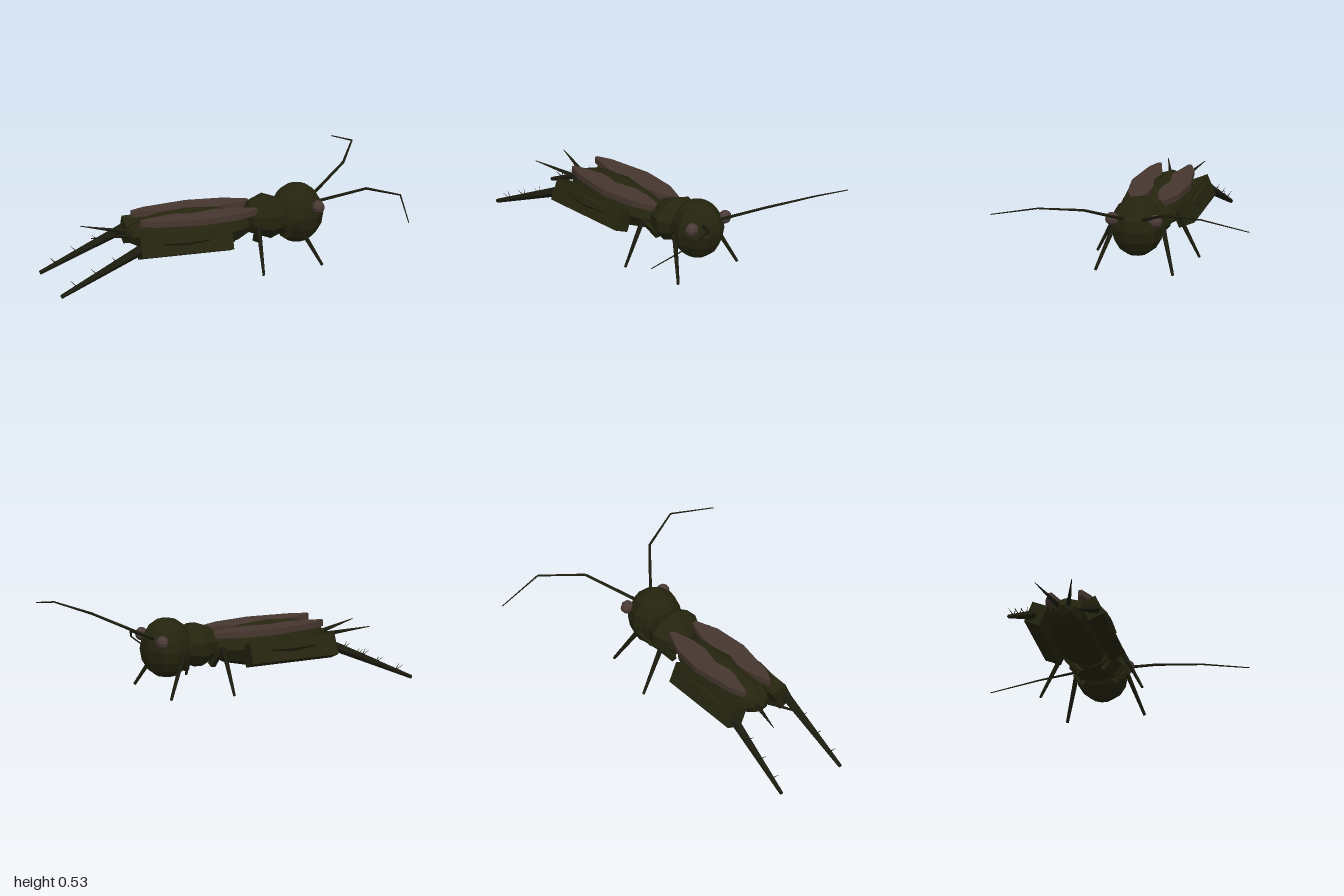
import * as THREE from 'three';

const material = (name, color) => {
  const m = new THREE.MeshStandardMaterial({ color, flatShading: true });
  m.name = name;
  return m;
};

export function createModel() {
  const green = material('dark green shell', 0x24240f);
  const dark = material('dark limbs', 0x1b1b0e);
  const brown = material('brown wings', 0x46372f);
  const eyeBrown = material('eye brown', 0x4a3a35);
  const model = new THREE.Group();
  model.name = 'cricket';

  const add = (name, geometry, mat, parent = model) => {
    const mesh = new THREE.Mesh(geometry, mat);
    mesh.name = name;
    parent.add(mesh);
    return mesh;
  };

  // Faceted ellipsoid; alongX turns its poles to front and back
  const blob = (name, pos, radii, mat, ws, hs, alongX, parent) => {
    const g = new THREE.SphereGeometry(1, ws, hs);
    if (alongX) g.rotateZ(-Math.PI / 2);
    else g.rotateY(Math.PI / ws);
    g.scale(...radii);
    const mesh = add(name, g, mat, parent);
    mesh.position.set(...pos);
    return mesh;
  };

  // Tapered rod between two points
  const rod = (name, a, b, r0, r1, mat, parent, sides = 5) => {
    const from = new THREE.Vector3(...a), to = new THREE.Vector3(...b);
    const dir = to.clone().sub(from);
    const g = new THREE.CylinderGeometry(r1, r0, dir.length(), sides);
    const mesh = add(name, g, mat, parent);
    mesh.position.copy(from).add(to).multiplyScalar(0.5);
    mesh.quaternion.setFromUnitVectors(new THREE.Vector3(0, 1, 0), dir.normalize());
    return mesh;
  };

  // Body, facing +x
  blob('abdomen', [-0.15, 0.278, 0], [0.39, 0.132, 0.165], green, 8, 8, true);
  blob('thorax', [0.32, 0.312, 0], [0.145, 0.133, 0.165], green, 10, 4, true);
  blob('head', [0.505, 0.315, 0], [0.158, 0.178, 0.158], green, 10, 8, false);

  for (const s of [1, -1]) {
    const side = new THREE.Group();
    side.name = s > 0 ? 'frontSideParts' : 'backSideParts';
    model.add(side);
    const P = (x, y, z) => [x, y, z * s];

    blob('eye', P(0.6, 0.38, 0.13), [0.037, 0.04, 0.042], eyeBrown, 8, 6, false, side);

    // Wing: flat leaf-shaped plate lying on the back
    const leaf = [[-0.475, 0.1], [-0.39, 0.135], [-0.12, 0.176], [0.1, 0.152], [0.24, 0.095],
      [0.23, 0.065], [0.1, 0.03], [-0.1, 0.018], [-0.3, 0.035], [-0.475, 0.08]];
    const shape = new THREE.Shape(leaf.map(([x, z]) => new THREE.Vector2(x, -z * s)));
    const wing = new THREE.ExtrudeGeometry(shape, { depth: 0.037, bevelEnabled: false });
    wing.rotateX(-Math.PI / 2).translate(0, 0.356, 0);
    add('wing', wing, brown, side);

    // Hind femur: long leaning block with a faceted bulge on its outer side
    const femur = add('hindFemur', new THREE.BoxGeometry(0.56, 0.13, 0.1), green, side);
    femur.position.set(-0.225, 0.253, 0.167 * s);
    femur.rotation.x = -0.4 * s;
    const bulge = blob('femurBulge', P(-0.225, 0.285, 0.195), [0.19, 0.04, 0.035], green, 6, 4, true, side);
    bulge.rotation.x = -0.4 * s;

    // Hind tibia with spines
    const knee = P(-0.49, 0.255, 0.19), foot = P(-0.995, 0.018, 0.216);
    rod('hindTibia', knee, foot, 0.03, 0.012, dark, side, 6);
    for (const t of [0.3, 0.55, 0.8]) {
      const [x, y, z] = knee.map((k, i) => k + (foot[i] - k) * t);
      for (const out of [1, -1])
        rod('tibiaSpine', [x, y, z], [x - 0.035, y + 0.035, z + out * 0.022 * s], 0.004, 0.0005, dark, side, 4);
    }

    // Middle and front legs
    rod('middleFemur', P(0.24, 0.2, 0.07), P(0.222, 0.315, 0.172), 0.026, 0.016, green, side);
    rod('middleTibia', P(0.222, 0.32, 0.175), P(0.215, 0.055, 0.306), 0.016, 0.008, dark, side);
    rod('frontFemur', P(0.42, 0.2, 0.08), P(0.47, 0.295, 0.155), 0.026, 0.016, green, side);
    rod('frontTibia', P(0.465, 0.3, 0.145), P(0.593, 0.055, 0.232), 0.016, 0.009, dark, side);

    // Tail feelers
    rod('cercus', P(-0.5, 0.285, 0.025), P(-0.78, 0.322, 0.11), 0.016, 0.002, dark, side);

    // Jointed antenna
    const joints = [P(0.61, 0.385, 0.05), P(0.863, 0.504, 0.236), P(0.992, 0.538, 0.488), P(0.956, 0.47, 0.775)];
    const radii = [0.01, 0.008, 0.005, 0.003];
    for (let i = 0; i < 3; i++)
      rod('antennaSegment', joints[i], joints[i + 1], radii[i], radii[i + 1], dark, side);
  }
  return model;
}
